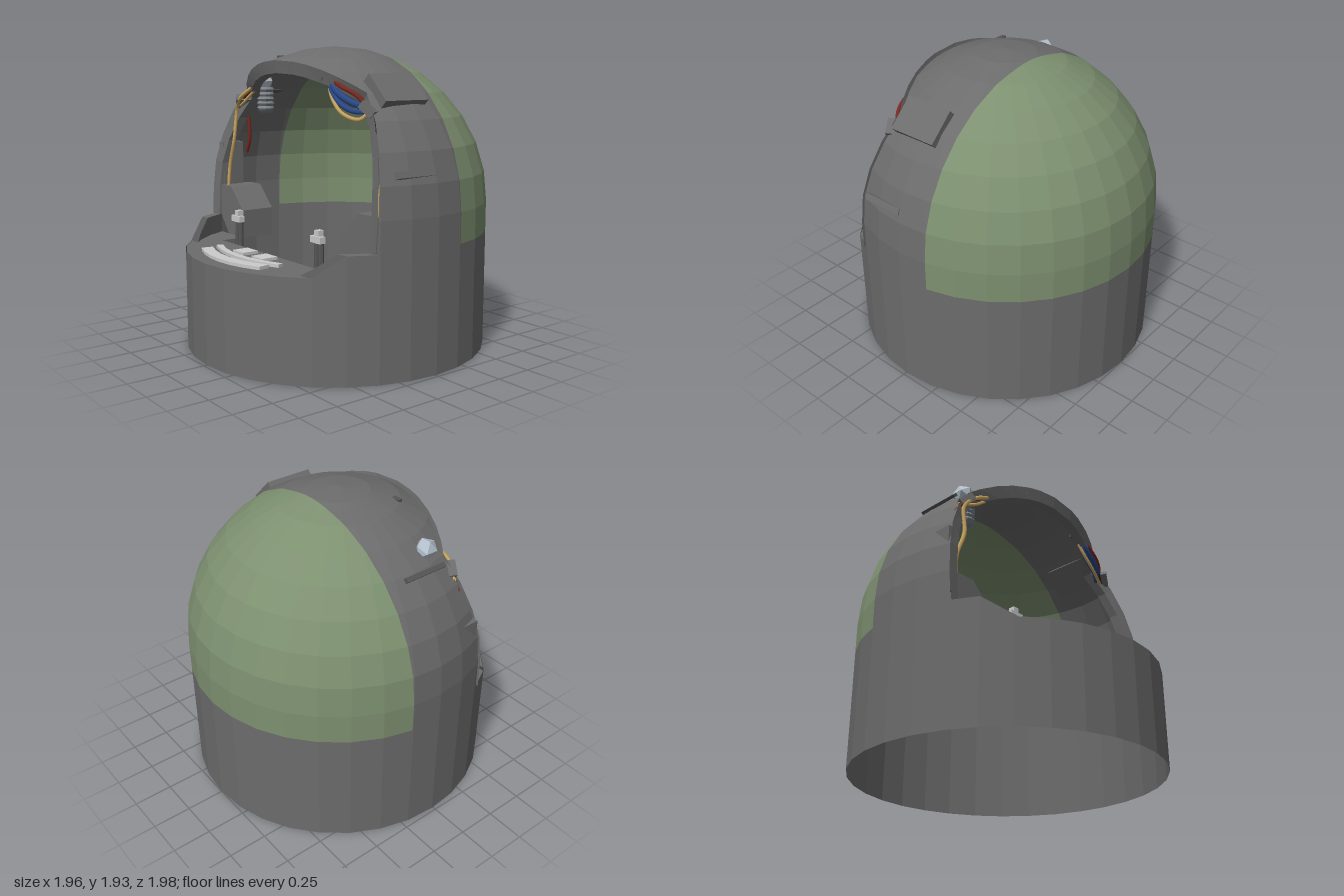
import * as THREE from 'three';

const RX = 0.978, RZ = 0.99, CZ = -0.01, SPRING = 0.95, DOME = 0.98, SEG = 32;
const V = (x, y, z) => new THREE.Vector3(x, y, z);
const mat = (color) => new THREE.MeshStandardMaterial({ color, flatShading: true, side: THREE.DoubleSide });
const lerp = THREE.MathUtils.lerp;

// Relative shell radius at a height, and the z of the front opening at a height
const rho = (y) => (y < SPRING ? 1 : Math.sqrt(Math.max(0, 1 - ((y - SPRING) / DOME) ** 2)));
const CUT = [[0.76, 0.39], [0.95, 0.38], [1.2, 0.36], [1.45, 0.3], [1.64, 0.25], [1.83, 0.44], [2, 0.6]];
function cutZ(y) {
  for (let i = 1; i < CUT.length; i++) {
    const [a, b] = [CUT[i - 1], CUT[i]];
    if (y <= b[0]) return lerp(a[1], b[1], (y - a[0]) / (b[0] - a[0]));
  }
  return 0.6;
}

// Quads between successive [y, radius scale] rings
function ringQuads(rows) {
  const p = ([y, s], i) => {
    const a = (i / SEG) * Math.PI * 2;
    return V(Math.sin(a) * RX * s, y, CZ + Math.cos(a) * RZ * s);
  };
  const out = [];
  for (let j = 1; j < rows.length; j++)
    for (let i = 0; i < SEG; i++)
      out.push([p(rows[j - 1], i), p(rows[j - 1], i + 1), p(rows[j], i + 1), p(rows[j], i)]);
  return out;
}

// Keep the part of each polygon where f >= 0
function clip(polys, f) {
  return polys.map((poly) => {
    const out = [];
    poly.forEach((a, i) => {
      const b = poly[(i + 1) % poly.length], fa = f(a), fb = f(b);
      if (fa >= 0) out.push(a);
      if (fa >= 0 !== fb >= 0) out.push(a.clone().lerp(b, fa / (fa - fb)));
    });
    return out;
  }).filter((poly) => poly.length > 2);
}

function polyGeometry(polys) {
  const pts = [];
  for (const p of polys)
    for (let i = 2; i < p.length; i++) {
      const area = p[1].clone().sub(p[0]).length() + p[i].distanceTo(p[i - 1]);
      if (area > 1e-6) pts.push(p[0], p[i - 1], p[i]);
    }
  const g = new THREE.BufferGeometry().setFromPoints(pts);
  g.computeVertexNormals();
  return g;
}

export function createModel() {
  const group = new THREE.Group();
  const body = mat(0x6c6c6c), dark = mat(0x565656), green = mat(0x7d9070), light = mat(0xcccccc);
  const add = (name, geometry, material, x = 0, y = 0, z = 0) => {
    const m = new THREE.Mesh(geometry, material);
    m.name = name;
    m.position.set(x, y, z);
    group.add(m);
    return m;
  };
  const box = (name, w, h, d, x, y, z, material = body) =>
    add(name, new THREE.BoxGeometry(w, h, d), material, x, y, z);

  // Base drum, with side walls that slope down towards the front
  const slope = (p) => 0.63 + (0.13 * (0.7 - p.z)) / 0.16 - p.y;
  add('baseWall', polyGeometry(ringQuads([[0, 1], [0.63, 1]])), body);
  add('stepWall', polyGeometry(clip(ringQuads([[0.63, 1], [0.76, 1]]), slope)), body);
  const lip = clip(clip(ringQuads([[0.63, 0.94], [0.76, 0.94]]), slope), (p) => p.z - 0.37);
  add('stepInnerWall', polyGeometry(lip), body);
  const cap = (z0, z1, name, material) => {
    const polys = clip(clip(ringQuads([[0.76, 1], [0.76, 0.94]]), (p) => p.z - z0), (p) => z1 - p.z);
    polys.flat().forEach((p) => { p.y = Math.min(0.76, 0.63 + (0.13 * (0.7 - p.z)) / 0.16); });
    add(name, polyGeometry(polys), material);
  };
  cap(0.37, 0.54, 'stepTop', body);
  cap(0.54, 0.7, 'stepSlope', dark);

  // Upper shell split into the grey hood and the green rear cap
  const rows = [[0.76, 1]];
  for (let i = 0; i <= 8; i++) {
    const a = (i * Math.PI) / 16;
    rows.push([SPRING + DOME * Math.sin(a), Math.cos(a)]);
  }
  const upper = ringQuads(rows);
  const hood = clip(clip(upper, (p) => p.z + 0.21), (p) => cutZ(p.y) - p.z);
  add('hood', polyGeometry(hood), body);
  add('rearCap', polyGeometry(clip(upper, (p) => -0.21 - p.z)), green);

  // Thick rim around the opening
  const ys = [0.76, 0.95, 1.14, 1.32, 1.49, 1.64, 1.68, 1.73, 1.77, 1.8, 1.815, 1.825];
  const section = (y, side) => {
    const z = cutZ(y), r = Math.sqrt(Math.max(0, rho(y) ** 2 - ((z - CZ) / RZ) ** 2));
    const x = side * RX * r, k = Math.max(0, y - SPRING) / 0.88;
    const at = (s, dy, dz) => V(x * s, y + dy * k, z + dz);
    return [at(1.005, 0.015, 0.012), at(0.93, -0.065, 0), at(0.92, -0.075, -0.06), at(0.985, -0.015, -0.06)];
  };
  const sections = [...ys.map((y) => section(y, -1)), ...ys.slice(0, -1).reverse().map((y) => section(y, 1))];
  const rim = [];
  for (let i = 1; i < sections.length; i++)
    for (let j = 0; j < 3; j++)
      rim.push([sections[i - 1][j], sections[i][j], sections[i][j + 1], sections[i - 1][j + 1]]);
  add('openingRim', polyGeometry(rim), body);

  // Front deck, cut out behind the centre
  const outline = [[-0.55, 0.37], [-0.55, 0.53], [0.55, 0.53], [0.55, 0.37]].map((p) => new THREE.Vector2(...p));
  for (let i = 6; i >= -6; i--) {
    const a = (i / SEG) * Math.PI * 2;
    outline.push(new THREE.Vector2(Math.sin(a) * RX * 0.995, CZ + Math.cos(a) * RZ * 0.995));
  }
  const deckGeo = new THREE.ExtrudeGeometry(new THREE.Shape(outline), { depth: 0.05, bevelEnabled: false });
  add('frontDeck', deckGeo.rotateX(Math.PI / 2), body, 0, 0.632, 0);

  // Controls on the deck
  for (const s of [-1, 1]) box('deckButton', 0.12, 0.02, 0.11, s * 0.11, 0.64, 0.625, light);
  const bar = (w, z, sag, depth) => {
    const sh = new THREE.Shape();
    const n = 6, zs = (t) => z - sag * t * t;
    for (let i = 0; i <= n; i++) {
      const t = (i / n) * 2 - 1;
      if (i) sh.lineTo(w * t, zs(t)); else sh.moveTo(w * t, zs(t));
    }
    for (let i = n; i >= 0; i--) sh.lineTo(w * ((i / n) * 2 - 1) * 0.96, zs((i / n) * 2 - 1) - depth);
    const g = new THREE.ExtrudeGeometry(sh, { depth: 0.02, bevelEnabled: false });
    add('deckBar', g.rotateX(Math.PI / 2), light, 0, 0.652, 0);
  };
  bar(0.36, 0.765, 0.075, 0.04);
  bar(0.34, 0.885, 0.075, 0.075);

  // Chamfered side blocks and bolted posts, mirrored
  const chamfer = [[0.55, 0.63], [0.55, 0.82], [0.7, 0.97], [0.84, 0.97], [0.84, 0.76], [0.74, 0.63]];
  for (const s of [-1, 1]) {
    const sh = new THREE.Shape(chamfer.map(([x, y]) => new THREE.Vector2(s * x, y)));
    add('sideBlock', new THREE.ExtrudeGeometry(sh, { depth: 0.24, bevelEnabled: false }), body, 0, 0, 0.13);
    for (const d of [-0.02, 0.02])
      add('postRod', new THREE.CylinderGeometry(0.017, 0.017, 0.22, 8), dark, s * 0.45 + d, 0.67, 0.46);
    box('postCrossbar', 0.1, 0.04, 0.04, s * 0.45, 0.79, 0.47, light);
    box('postCap', 0.04, 0.08, 0.04, s * 0.45, 0.805, 0.46, light);
    box('wireBracket', 0.1, 0.05, 0.1, s * 0.68, 1.56, 0.27).rotation.set(0, s * 0.5, s * -0.7);
  }
  box('innerPillar', 0.06, 0.42, 0.16, -0.855, 1.06, 0.27);
  box('wireSocket', 0.1, 0.05, 0.06, 0.33, 1.745, 0.35, dark);

  // Plate and fins on the outside of the hood
  box('hoodPlate', 0.22, 0.07, 0.33, 0.66, 1.66, 0.05).rotation.z = -0.78;
  box('hoodFin', 0.03, 0.02, 0.3, -0.71, 1.63, 0.06, dark).rotation.z = 0.78;
  box('sideFin', 0.04, 0.03, 0.28, 0.93, 1.2, 0.14).rotation.z = -1.2;
  box('topFin', 0.06, 0.03, 0.03, -0.25, 1.855, 0.24, dark);

  // Faceted lamp with a ribbed housing inside
  const lamp = add('lamp', new THREE.IcosahedronGeometry(0.07, 0), mat(0xb4c0cc), -0.6, 1.7, 0.16);
  lamp.scale.set(0.95, 1, 1.1);
  const ribs = [];
  for (let i = 0; i <= 10; i++) ribs.push(new THREE.Vector2(i % 2 ? 0.06 : 0.05, i * 0.016));
  ribs.unshift(new THREE.Vector2(0, -0.02), new THREE.Vector2(0.035, -0.015));
  add('lampHousing', new THREE.LatheGeometry(ribs, 12), mat(0x7c8288), -0.57, 1.5, 0.16);

  // Wires
  const colors = { tan: mat(0xc8a560), red: mat(0x7a2a22), blue: mat(0x2b4a8c), black: mat(0x2a2a2a) };
  for (const k in colors) colors[k].flatShading = false;
  const wire = (color, r, ...pts) =>
    add(color + 'Wire', new THREE.TubeGeometry(new THREE.CatmullRomCurve3(pts.map((p) => V(...p))), 24, r, 6), colors[color]);
  wire('tan', 0.013, [-0.52, 1.66, 0.3], [-0.65, 1.58, 0.32], [-0.72, 1.5, 0.3], [-0.73, 1.3, 0.32], [-0.79, 1.12, 0.32], [-0.8, 0.96, 0.33]);
  wire('tan', 0.01, [-0.52, 1.64, 0.28], [-0.64, 1.55, 0.3], [-0.75, 1.52, 0.27]);
  wire('red', 0.012, [-0.52, 1.67, 0.28], [-0.68, 1.56, 0.29], [-0.78, 1.44, 0.27], [-0.73, 1.48, 0.22], [-0.72, 1.3, 0.2], [-0.76, 1.2, 0.2]);
  wire('red', 0.014, [0.38, 1.75, 0.33], [0.5, 1.69, 0.34], [0.61, 1.64, 0.31], [0.67, 1.57, 0.27]);
  wire('blue', 0.02, [0.38, 1.74, 0.33], [0.46, 1.66, 0.34], [0.57, 1.6, 0.32], [0.67, 1.56, 0.26]);
  wire('blue', 0.016, [0.36, 1.73, 0.33], [0.45, 1.61, 0.33], [0.56, 1.55, 0.31], [0.66, 1.54, 0.25]);
  wire('tan', 0.012, [0.36, 1.72, 0.32], [0.42, 1.62, 0.34], [0.52, 1.53, 0.34], [0.63, 1.5, 0.3], [0.67, 1.55, 0.26]);
  wire('black', 0.014, [0.62, 1.58, 0.3], [0.7, 1.51, 0.26], [0.75, 1.43, 0.26]);
  wire('blue', 0.018, [0.85, 1.2, 0.26], [0.82, 1.1, 0.26], [0.84, 1.04, 0.26], [0.88, 1.03, 0.24]);
  wire('tan', 0.011, [0.84, 1.21, 0.3], [0.85, 1.1, 0.33], [0.84, 0.98, 0.33], [0.81, 0.92, 0.32]);
  return group;
}
